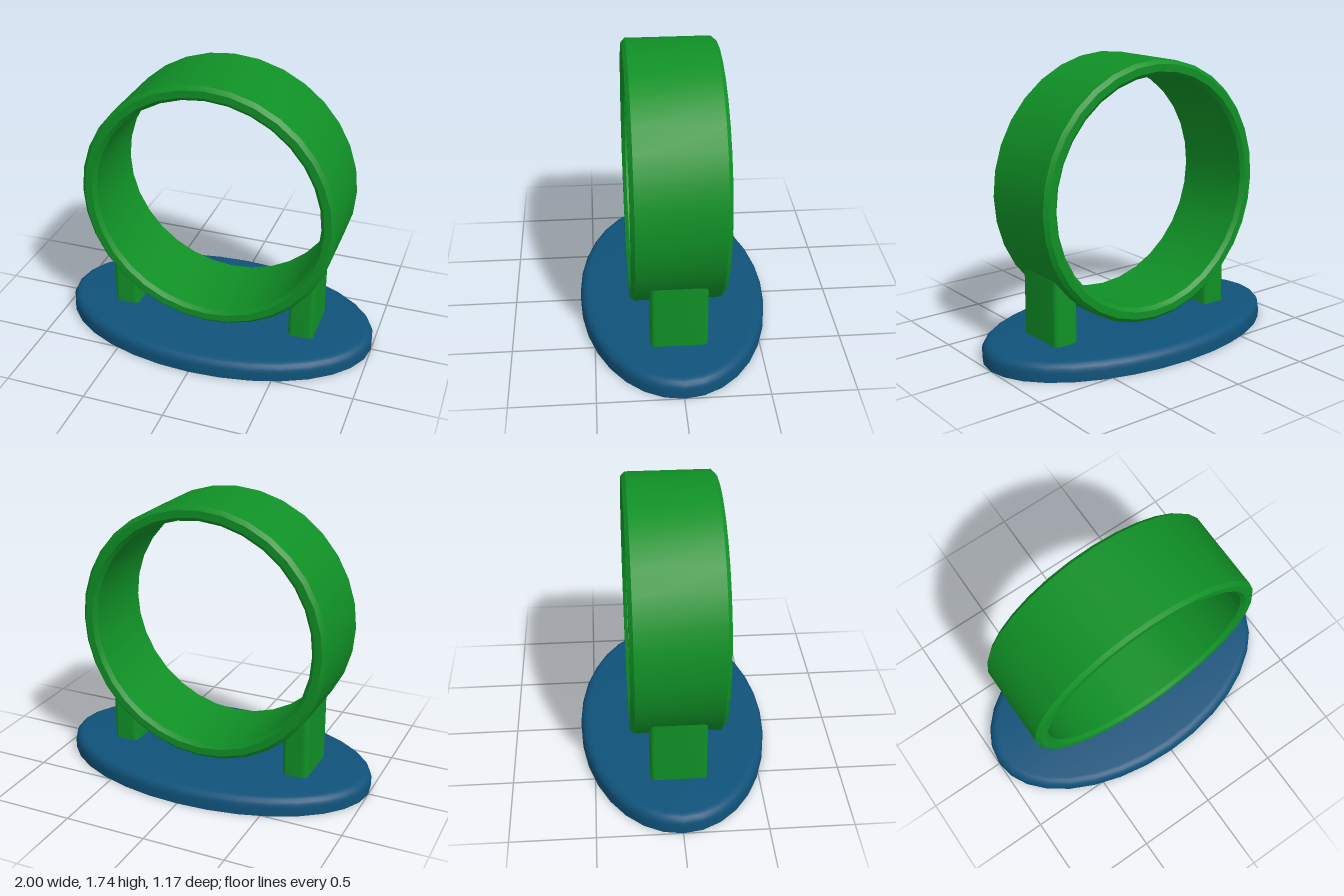
import * as THREE from 'three';
import { toCreasedNormals } from 'three/addons/utils/BufferGeometryUtils.js';

const SEGMENTS = 32;
const RING_Y = 0.95;
const BASE_TOP = 0.11;

const v2 = (x, y) => new THREE.Vector2(x, y);

// Move every vertex by a rule
function moveVertices(geometry, rule) {
  const pos = geometry.attributes.position;
  const p = new THREE.Vector3();
  for (let i = 0; i < pos.count; i++) {
    p.fromBufferAttribute(pos, i);
    rule(p);
    pos.setXYZ(i, p.x, p.y, p.z);
  }
  return geometry;
}

// Oval plate with an evenly rounded top edge
function baseGeometry() {
  const fillet = 0.055;
  const profile = [v2(0, 0), v2(1, 0)];
  for (let i = 0; i <= 5; i++) {
    const a = (i / 5) * Math.PI / 2;
    profile.push(v2(1 - fillet + fillet * Math.cos(a), BASE_TOP - fillet + fillet * Math.sin(a)));
  }
  profile.push(v2(0, BASE_TOP));
  const geometry = new THREE.LatheGeometry(profile, SEGMENTS);
  moveVertices(geometry, (p) => {
    const r = Math.hypot(p.x, p.z);
    if (r > 0.5) p.z *= (r - 0.415) / r;
  });
  return toCreasedNormals(geometry, 0.6);
}

// Wide band with chamfered inner and outer rims
function ringGeometry() {
  const outer = 0.79, inner = 0.7, half = 0.28, c = 0.023;
  const profile = [
    v2(outer, -half + c), v2(outer, half - c), v2(outer - c, half), v2(inner + c, half),
    v2(inner, half - c), v2(inner, -half + c), v2(inner + c, -half), v2(outer - c, -half),
    v2(outer, -half + c),
  ];
  const geometry = new THREE.LatheGeometry(profile, SEGMENTS);
  geometry.rotateX(Math.PI / 2);
  return toCreasedNormals(geometry, 0.6);
}

// Rounded post whose top follows the ring and ends inside its wall
function postGeometry(side) {
  const w = 0.08, d = 0.17, r = 0.03;
  const shape = new THREE.Shape();
  shape.absarc(w - r, d - r, r, 0, Math.PI / 2);
  shape.absarc(-w + r, d - r, r, Math.PI / 2, Math.PI);
  shape.absarc(-w + r, -d + r, r, Math.PI, Math.PI * 1.5);
  shape.absarc(w - r, -d + r, r, Math.PI * 1.5, Math.PI * 2);
  const geometry = new THREE.ExtrudeGeometry(shape, { depth: 1, bevelEnabled: false, curveSegments: 5 });
  geometry.rotateX(-Math.PI / 2);
  geometry.translate(side * 0.58, 0, 0);
  moveVertices(geometry, (p) => {
    p.y = p.y > 0.5 ? RING_Y - Math.sqrt(0.75 ** 2 - p.x ** 2) : BASE_TOP - 0.01;
  });
  return toCreasedNormals(geometry, 0.6);
}

export function createModel() {
  const green = new THREE.MeshStandardMaterial({ color: 0x109026 });
  green.name = 'green';
  const blue = new THREE.MeshStandardMaterial({ color: 0x10527a });
  blue.name = 'blue';

  const model = new THREE.Group();
  model.name = 'ringStand';
  const add = (name, geometry, material) => {
    const mesh = new THREE.Mesh(geometry, material);
    mesh.name = name;
    model.add(mesh);
    return mesh;
  };

  add('base', baseGeometry(), blue);
  add('ring', ringGeometry(), green).position.y = RING_Y;
  add('leftPost', postGeometry(1), green);
  add('rightPost', postGeometry(-1), green);
  return model;
}
